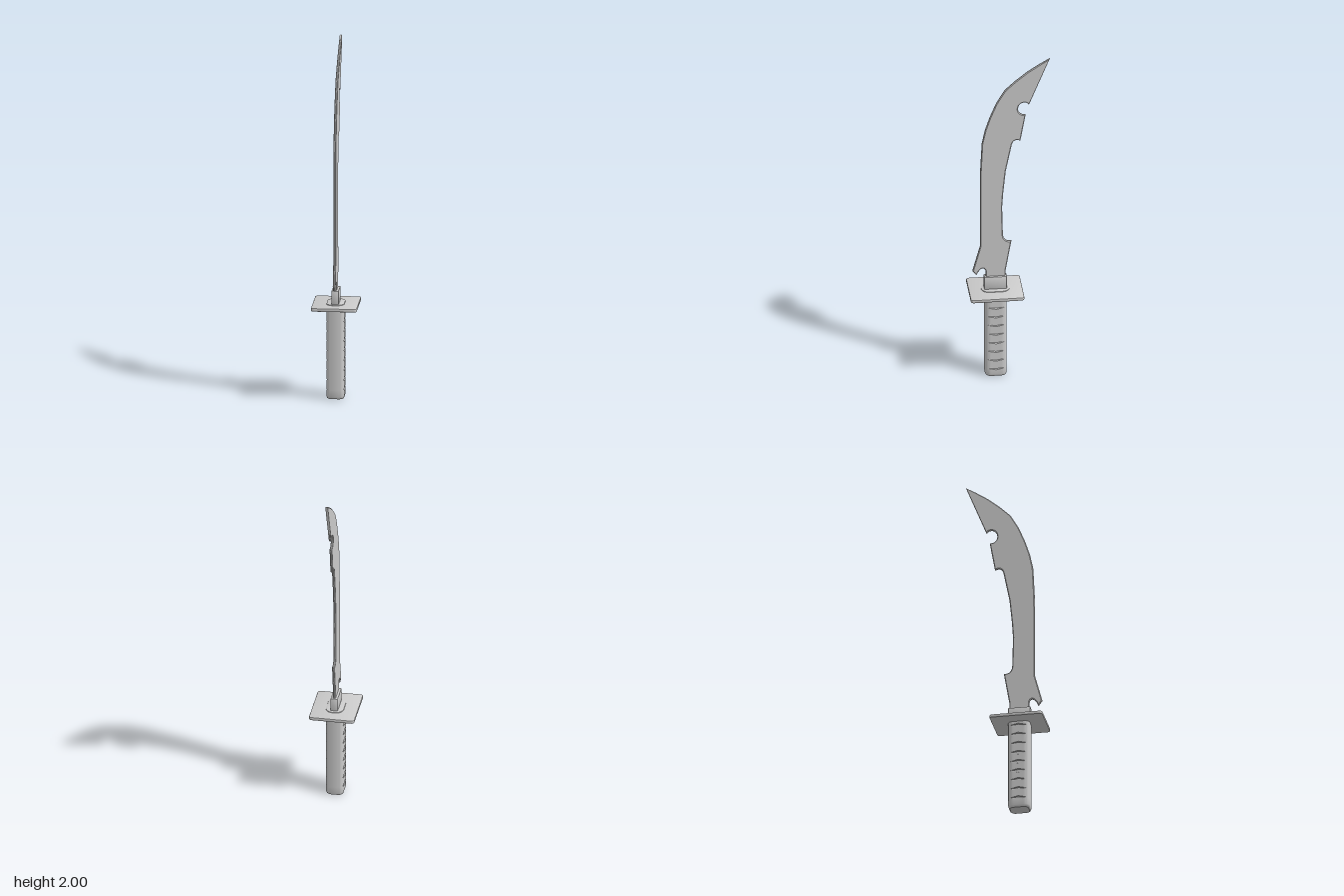
import * as THREE from 'three';
import { toCreasedNormals } from 'three/addons/utils/BufferGeometryUtils.js';

const material = new THREE.MeshStandardMaterial({ color: 0xcccccc });
const MID = 0.08; // z of the grip axis

function add(group, name, geometry) {
  const mesh = new THREE.Mesh(geometry, material);
  mesh.name = name;
  group.add(mesh);
  return mesh;
}

// Rounded rectangle as a closed shape, centred on the origin
function roundedRect(w, h, r) {
  const s = new THREE.Shape();
  const x = w / 2 - r, y = h / 2 - r;
  s.absarc(x, y, r, 0, Math.PI / 2);
  s.absarc(-x, y, r, Math.PI / 2, Math.PI);
  s.absarc(-x, -y, r, Math.PI, Math.PI * 1.5);
  s.absarc(x, -y, r, Math.PI * 1.5, Math.PI * 2);
  s.closePath();
  return s;
}

// Horizontal slab with softened edges, from y0 to y1
function slab(w, d, r, y0, y1, bevel) {
  const g = new THREE.ExtrudeGeometry(roundedRect(w, d, r), {
    depth: y1 - y0 - 2 * bevel, bevelThickness: bevel, bevelSize: bevel,
    bevelOffset: -bevel, bevelSegments: 2, curveSegments: 8,
  });
  g.rotateX(-Math.PI / 2);
  g.translate(0, y0 + bevel, MID);
  return toCreasedNormals(g, 0.6);
}

// Blade outline in (z, y), extruded across x
function bladeGeometry() {
  const s = new THREE.Shape();
  const lines = (pts) => pts.forEach(([z, y]) => s.lineTo(z, y));
  s.moveTo(0.022, 0.58);
  lines([[0.022, 0.655], [-0.01, 0.842]]);
  s.quadraticCurveTo(0.036, 0.835, 0.038, 0.89); // lower step
  lines([[0.042, 1.06], [0.036, 1.15], [0.022, 1.29], [-0.012, 1.46]]);
  s.quadraticCurveTo(-0.022, 1.5, -0.06, 1.482); // upper step
  lines([[-0.09, 1.65]]);
  s.bezierCurveTo(-0.06, 1.645, -0.045, 1.67, -0.047, 1.69); // round notch
  s.bezierCurveTo(-0.05, 1.735, -0.1, 1.735, -0.108, 1.71);
  lines([[-0.225, 2]]);
  lines([[-0.165, 1.965], [-0.1, 1.922], [-0.03, 1.865], [0.028, 1.81], [0.075, 1.73],
    [0.112, 1.64], [0.138, 1.56], [0.156, 1.475], [0.165, 1.29], [0.166, 0.815],
    [0.208, 0.66], [0.186, 0.63]]);
  s.bezierCurveTo(0.165, 0.685, 0.135, 0.685, 0.134, 0.645); // hook at the heel
  lines([[0.134, 0.58]]);
  s.closePath();
  const g = new THREE.ExtrudeGeometry(s, {
    depth: 0.006, bevelThickness: 0.004, bevelSize: 0.005, bevelOffset: -0.005,
    bevelSegments: 1, curveSegments: 8,
  });
  g.translate(0, 0, -0.003);
  g.rotateY(-Math.PI / 2);
  return toCreasedNormals(g, 0.5);
}

// Grip: stacked rounded sections, with diamond recesses cut in both flat sides
function gripGeometry() {
  const halfX = 0.05, halfZ = 0.061, r = 0.028, flat = halfZ - r;
  const section = [];
  for (let c = 0; c < 4; c++) {
    const cx = (c === 0 || c === 3 ? 1 : -1) * (halfX - r);
    const cz = (c < 2 ? 1 : -1) * flat;
    for (let i = 0; i <= 6; i++) {
      const a = (c + i / 6) * Math.PI / 2;
      section.push([cx + r * Math.cos(a), cz + r * Math.sin(a)]);
    }
    if (c === 1 || c === 3) { // extra points along the flat side
      const dir = c === 1 ? -1 : 1;
      for (let i = 1; i < 8; i++) {
        section.push([c === 1 ? -halfX : halfX, -dir * flat + dir * 2 * flat * i / 8]);
      }
    }
  }
  // Each row: height, scale, diamond edge sign, recess depth
  const rows = [[0, 0.86, 0, 0], [0.004, 0.94, 0, 0], [0.014, 1, 0, 0]];
  for (let k = 0; k < 9; k++) {
    const y = 0.054 + k * 0.0556;
    rows.push([y, 1, -1, 0], [y - 0.001, 1, -0.6, 0.007], [y + 0.001, 1, 0.6, 0.007], [y, 1, 1, 0]);
  }
  rows.push([0.53, 1, 0, 0]);
  const pos = [], index = [], n = section.length;
  rows.forEach(([y, scale, edge, depth]) => {
    section.forEach(([x, z]) => {
      const t = Math.max(0, 1 - Math.abs(z) / 0.046);
      const push = Math.abs(x) > 0.035 ? depth * Math.min(1, t * 2) : 0;
      pos.push(x * scale - Math.sign(x) * push, y + edge * (0.0015 + 0.011 * t), z * scale + MID);
    });
  });
  for (let j = 0; j < rows.length - 1; j++) {
    for (let i = 0; i < n; i++) {
      const a = j * n + i, b = j * n + (i + 1) % n;
      index.push(a, a + n, b, b, a + n, b + n);
    }
  }
  // Pommel end cap
  const centre = pos.length / 3;
  pos.push(0, 0, MID);
  for (let i = 0; i < n; i++) index.push(centre, i, (i + 1) % n);
  const g = new THREE.BufferGeometry();
  g.setAttribute('position', new THREE.Float32BufferAttribute(pos, 3));
  g.setIndex(index);
  return toCreasedNormals(g, 0.6);
}

export function createModel() {
  const group = new THREE.Group();
  group.name = 'sword';
  add(group, 'blade', bladeGeometry());
  add(group, 'collar', slab(0.04, 0.126, 0.004, 0.53, 0.622, 0.002));
  add(group, 'guardPad', slab(0.1, 0.16, 0.045, 0.53, 0.546, 0.003));
  add(group, 'guard', slab(0.256, 0.3, 0.016, 0.523, 0.542, 0.004));
  add(group, 'grip', gripGeometry());
  return group;
}
